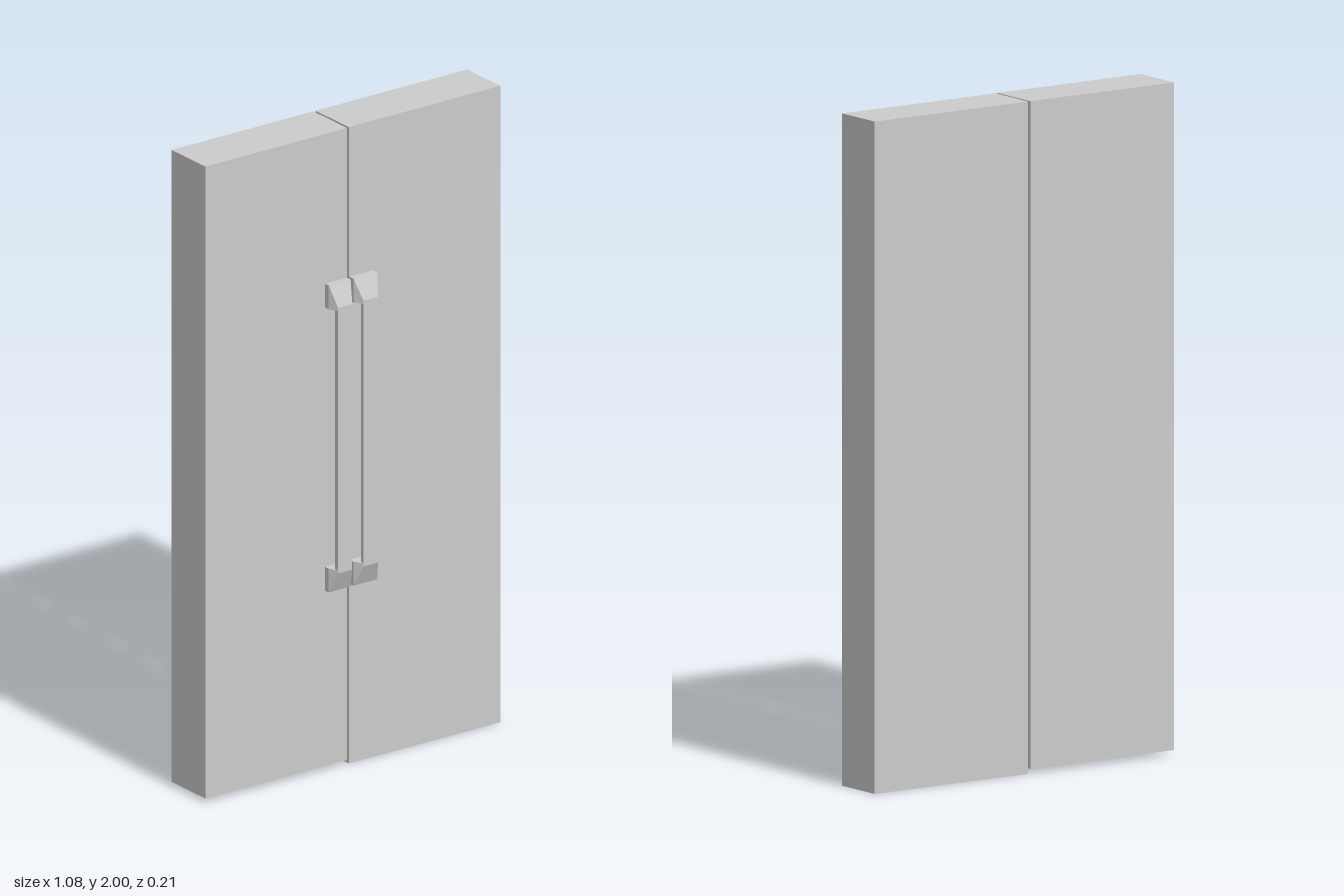
import * as THREE from 'three';
import { ConvexGeometry } from 'three/addons/geometries/ConvexGeometry.js';

const material = new THREE.MeshStandardMaterial({ color: 0xcccccc, flatShading: true });

// Box given by its two extreme corners
function slab(name, [x0, y0, z0], [x1, y1, z1]) {
  const geometry = new THREE.BoxGeometry(x1 - x0, y1 - y0, z1 - z0);
  geometry.translate((x0 + x1) / 2, (y0 + y1) / 2, (z0 + z1) / 2);
  const mesh = new THREE.Mesh(geometry, material);
  mesh.name = name;
  return mesh;
}

// Handle foot: a square pad that tapers forward to the width of the grip
function bracket(name, base, front, inner, outer, tip, z0, z1, z2) {
  const points = [];
  const section = (xs, ys, z) => {
    for (const x of xs) for (const y of ys) points.push(new THREE.Vector3(x, y, z));
  };
  section(base, [inner, outer], z0);
  section(base, [inner, outer], z1);
  section(front, [inner, tip], z2);
  const mesh = new THREE.Mesh(new ConvexGeometry(points), material);
  mesh.name = name;
  return mesh;
}

// Upright pull handle: two feet joined by a thin flat grip
function handle(name, base, front, zDoor, zFront) {
  const group = new THREE.Group();
  group.name = name;
  group.add(
    bracket('upperBracket', base, front, 1.455, 1.53, 1.465, zDoor, 0.076, zFront),
    bracket('lowerBracket', base, front, 0.64, 0.565, 0.63, zDoor, 0.076, zFront),
    slab('grip', [front[0], 0.64, 0.09], [front[1], 1.455, zFront])
  );
  return group;
}

export function createModel() {
  const model = new THREE.Group();
  model.name = 'doubleDoor';

  // Two door panels with a narrow gap; the right one is a little shorter
  model.add(
    slab('rightDoor', [-0.54, 0.014, -0.108], [-0.023, 2, 0.058]),
    slab('leftDoor', [-0.015, 0, -0.108], [0.538, 2, 0.055])
  );

  // Handles beside the gap
  model.add(
    handle('rightHandle', [-0.104, -0.024], [-0.091, -0.039], 0.058, 0.104),
    handle('leftHandle', [-0.014, 0.073], [0.003, 0.056], 0.055, 0.103)
  );
  return model;
}
